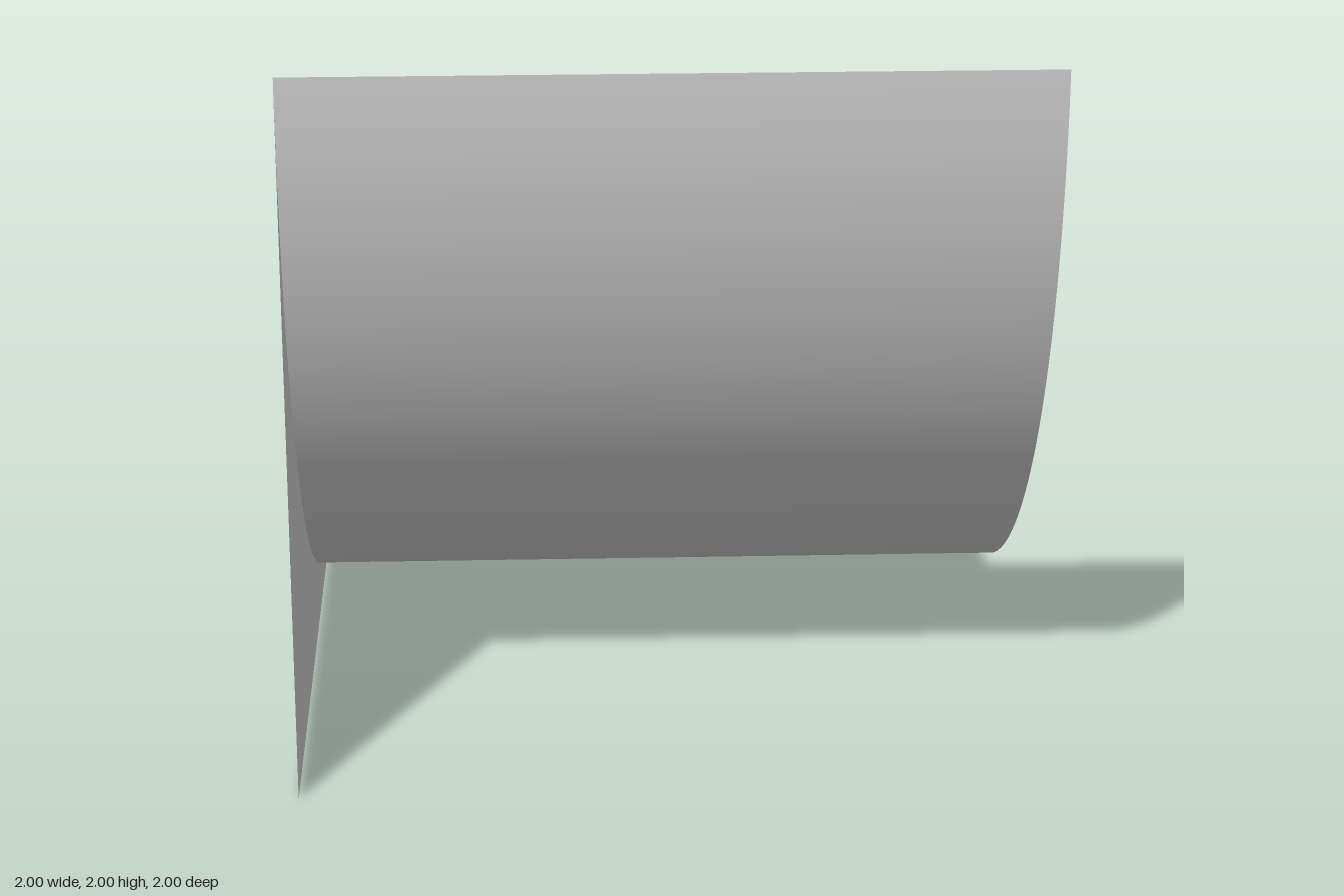
import * as THREE from 'three';

export function createModel() {
  const group = new THREE.Group();
  const material = new THREE.MeshStandardMaterial({ color: 0xcccccc, side: THREE.DoubleSide });
  const radius = 2, width = 2, segments = 64;

  // Curved ramp: an open quarter cylinder lying along x
  const rampGeometry = new THREE.CylinderGeometry(
    radius, radius, width, segments, 1, true, -Math.PI / 2, Math.PI / 2);
  rampGeometry.rotateZ(Math.PI / 2);
  const ramp = new THREE.Mesh(rampGeometry, material);
  ramp.name = 'curvedRamp';
  ramp.position.set(0, radius, -1);
  group.add(ramp);

  // Flat wall closing one end beneath the curve, drawn in (z, y)
  const profile = new THREE.Shape();
  profile.moveTo(1, 0);
  profile.lineTo(1, radius);
  profile.absarc(-1, radius, radius, 0, -Math.PI / 2, true);
  profile.closePath();
  const wallGeometry = new THREE.ShapeGeometry(profile, segments);
  wallGeometry.rotateY(-Math.PI / 2);
  const wall = new THREE.Mesh(wallGeometry, material);
  wall.name = 'sideWall';
  wall.position.x = -width / 2;
  group.add(wall);

  return group;
}
